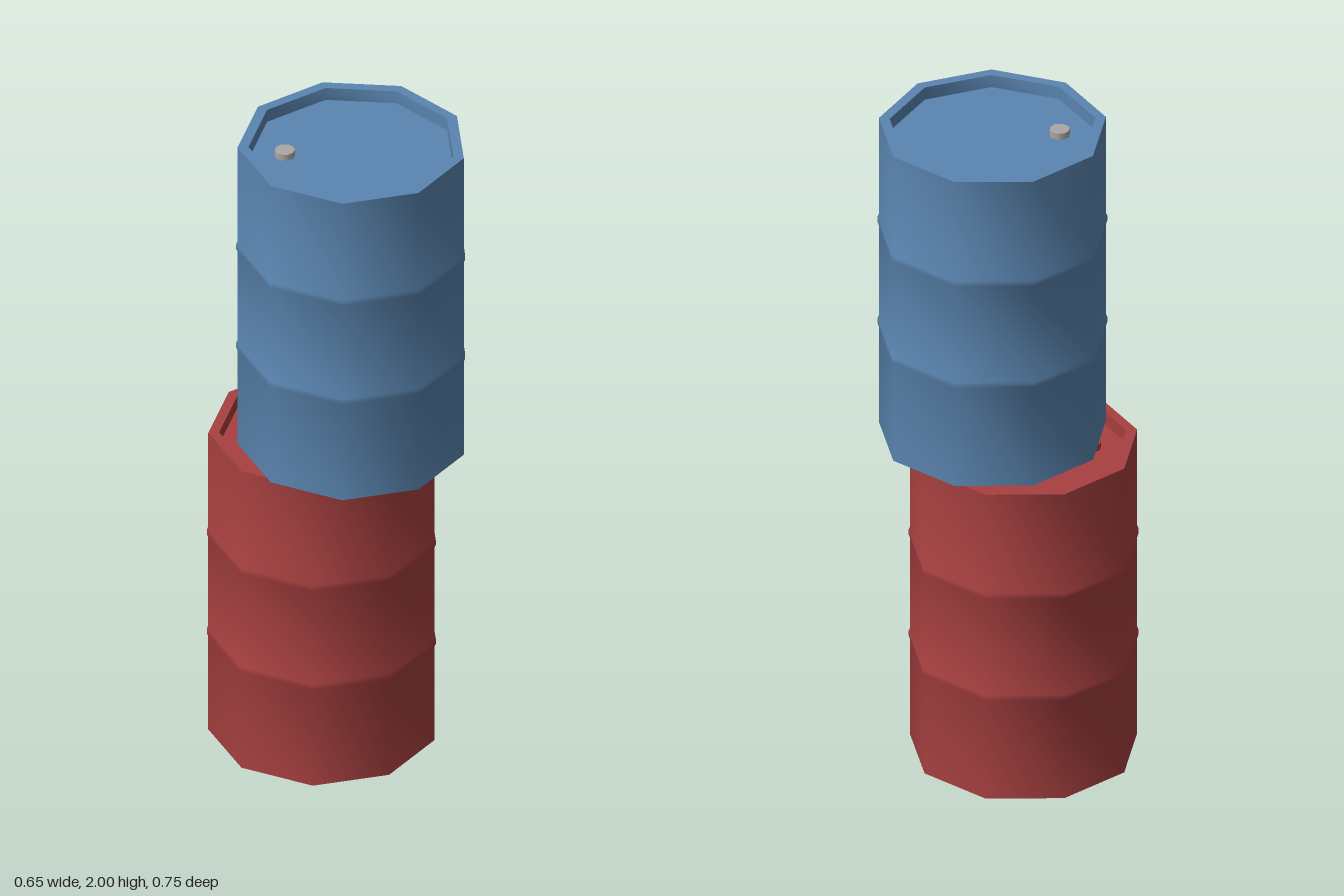
import * as THREE from 'three';
import { toCreasedNormals } from 'three/addons/utils/BufferGeometryUtils.js';

const SIDES = 9;
const RADIUS = 0.328;
const INNER = 0.297;
const RECESS = 0.04;

// Closed barrel profile: recessed base, rim, ribbed wall, rim, recessed lid
function barrelGeometry() {
  const points = [[0, RECESS], [INNER, RECESS], [INNER, 0], [RADIUS, 0]];
  for (const y of [1 / 3, 2 / 3]) {
    points.push([RADIUS, y - 0.018], [RADIUS + 0.004, y - 0.008],
      [RADIUS + 0.004, y + 0.008], [RADIUS, y + 0.018]);
  }
  points.push([RADIUS, 1], [INNER, 1], [INNER, 1 - RECESS], [0, 1 - RECESS]);
  const lathe = new THREE.LatheGeometry(points.map(([x, y]) => new THREE.Vector2(x, y)), SIDES, Math.PI);
  return toCreasedNormals(lathe, 1);
}

function makeBarrel(name, color, bungColor) {
  const barrel = new THREE.Group();
  barrel.name = name;

  const drum = new THREE.Mesh(barrelGeometry(), new THREE.MeshStandardMaterial({ color }));
  drum.name = 'drum';

  // Filler cap near the edge of the lid
  const bung = new THREE.Mesh(
    new THREE.CylinderGeometry(0.029, 0.029, 0.02, 10),
    new THREE.MeshStandardMaterial({ color: bungColor }));
  bung.name = 'bung';
  bung.position.set(-0.117, 1 - RECESS + 0.01, -0.153);

  barrel.add(drum, bung);
  return barrel;
}

export function createModel() {
  const model = new THREE.Group();
  model.name = 'stackedBarrels';

  const lower = makeBarrel('lowerBarrel', 0xa84040, 0xa84040);
  lower.position.set(0, 0, -0.042);

  const upper = makeBarrel('upperBarrel', 0x5a85b0, 0xaaa7a4);
  upper.position.set(0, 1, 0.06);

  model.add(lower, upper);
  return model;
}
